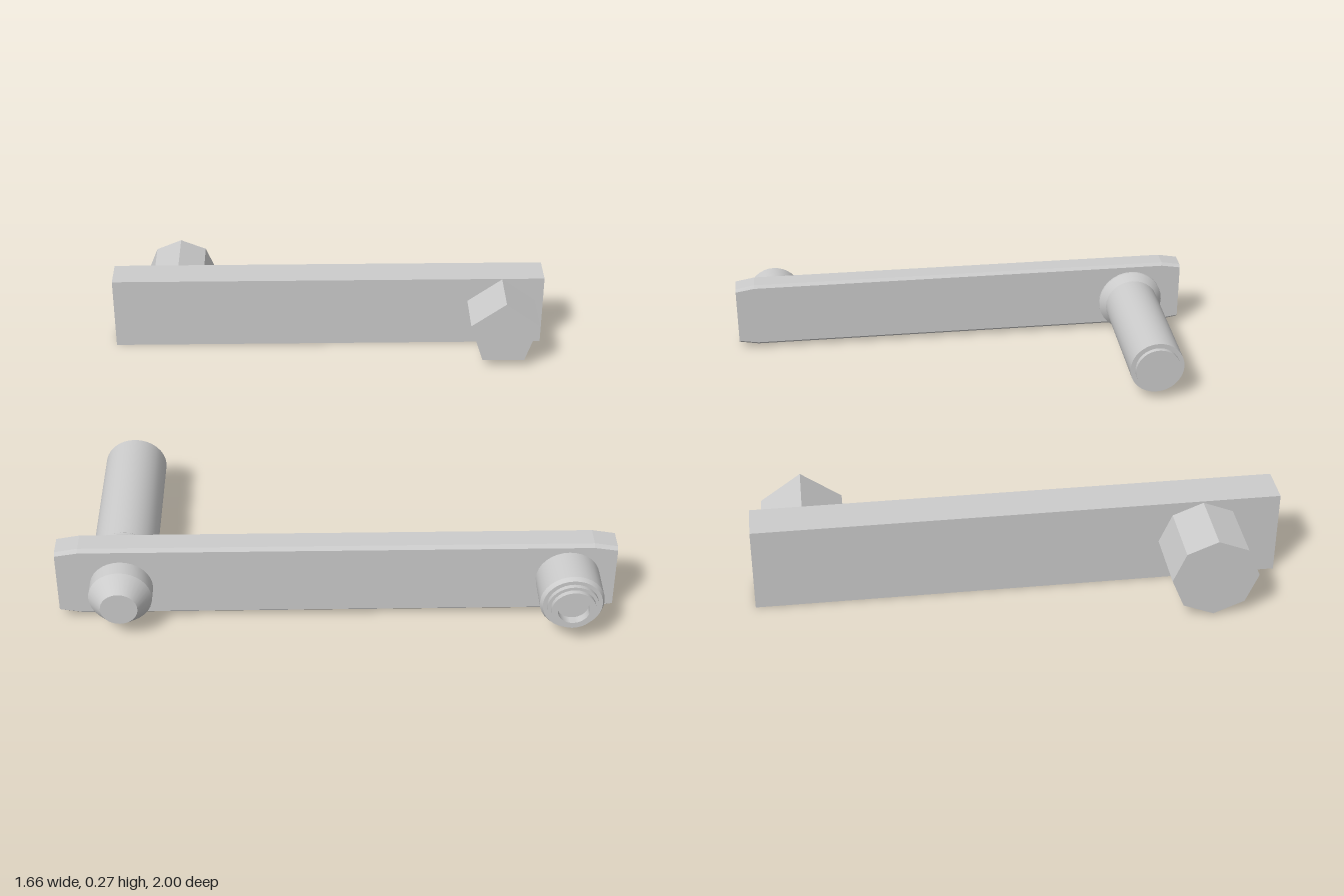
import * as THREE from 'three';
import { toCreasedNormals } from 'three/addons/utils/BufferGeometryUtils.js';

const smooth = new THREE.MeshStandardMaterial({ color: 0xcccccc });
const faceted = new THREE.MeshStandardMaterial({ color: 0xcccccc, flatShading: true });

function add(group, name, geometry, x, y, z, material = faceted) {
  const mesh = new THREE.Mesh(geometry, material);
  mesh.name = name;
  mesh.position.set(x, y, z);
  group.add(mesh);
  return mesh;
}

// Turned part about the z axis; profile holds [radius, z] from back to front
function turned(profile) {
  const points = profile.map(([r, z]) => new THREE.Vector2(r, z));
  const geometry = new THREE.LatheGeometry(points, 32).rotateX(Math.PI / 2);
  return toCreasedNormals(geometry, 0.4);
}

// Prism along z with its first corner pointing straight up
function prism(sides, radius, length) {
  return new THREE.CylinderGeometry(radius, radius, length, sides)
    .rotateX(Math.PI / 2).rotateZ(Math.PI);
}

// Chamfered bar along x whose ends narrow in height
function armGeometry(length, height, depth, chamfer) {
  const a = depth / 2, b = height / 2, c = chamfer;
  const section = new THREE.Shape([
    [a, -b + c], [a, b - c], [a - c, b], [-a + c, b],
    [-a, b - c], [-a, -b + c], [-a + c, -b], [a - c, -b],
  ].map(([u, v]) => new THREE.Vector2(u, v)));
  const geometry = new THREE.ExtrudeGeometry(section, { depth: length, steps: 24, bevelEnabled: false })
    .translate(0, 0, -length / 2).rotateY(Math.PI / 2);
  const pos = geometry.attributes.position;
  for (let i = 0; i < pos.count; i++) {
    if (Math.abs(pos.getX(i)) > length / 2 - 0.001) pos.setY(i, pos.getY(i) * 0.9);
  }
  geometry.computeVertexNormals();
  return geometry;
}

export function createModel() {
  const model = new THREE.Group();

  // Detailed crank at the front
  const front = new THREE.Group();
  front.name = 'detailedCrank';
  add(front, 'crankArm', armGeometry(1.66, 0.245, 0.082, 0.01), 0, 0.141, 0.809);
  add(front, 'axle', turned([
    [0, 0.22], [0.08, 0.22], [0.08, 0.237], [0.097, 0.237], [0.097, 0.715],
    [0.118, 0.742], [0.118, 0.75], [0.1, 0.757], [0.1, 0.77], [0, 0.77],
  ]), -0.64, 0.126, 0, smooth);
  add(front, 'axleCap', turned([
    [0, 0.84], [0.094, 0.84], [0.094, 0.9], [0.055, 0.952], [0, 0.952],
  ]), -0.64, 0.124, 0, smooth);
  add(front, 'handleStub', turned([
    [0, 0.84], [0.095, 0.84], [0.095, 0.96], [0.088, 0.973], [0.076, 0.973],
    [0.076, 0.986], [0.066, 0.986], [0.066, 1], [0.047, 1], [0.047, 0.975], [0, 0.975],
  ]), 0.688, 0.142, 0, smooth);
  model.add(front);

  // Simple crank at the back
  const back = new THREE.Group();
  back.name = 'simpleCrank';
  add(back, 'simpleArm', new THREE.BoxGeometry(1.58, 0.27, 0.12), 0, 0.14, -0.74);
  add(back, 'octagonStub', prism(8, 0.13, 0.2), -0.555, 0.14, -0.9);
  add(back, 'pentagonStub', prism(5, 0.13, 0.18), 0.635, 0.143, -0.592);
  model.add(back);

  return model;
}
